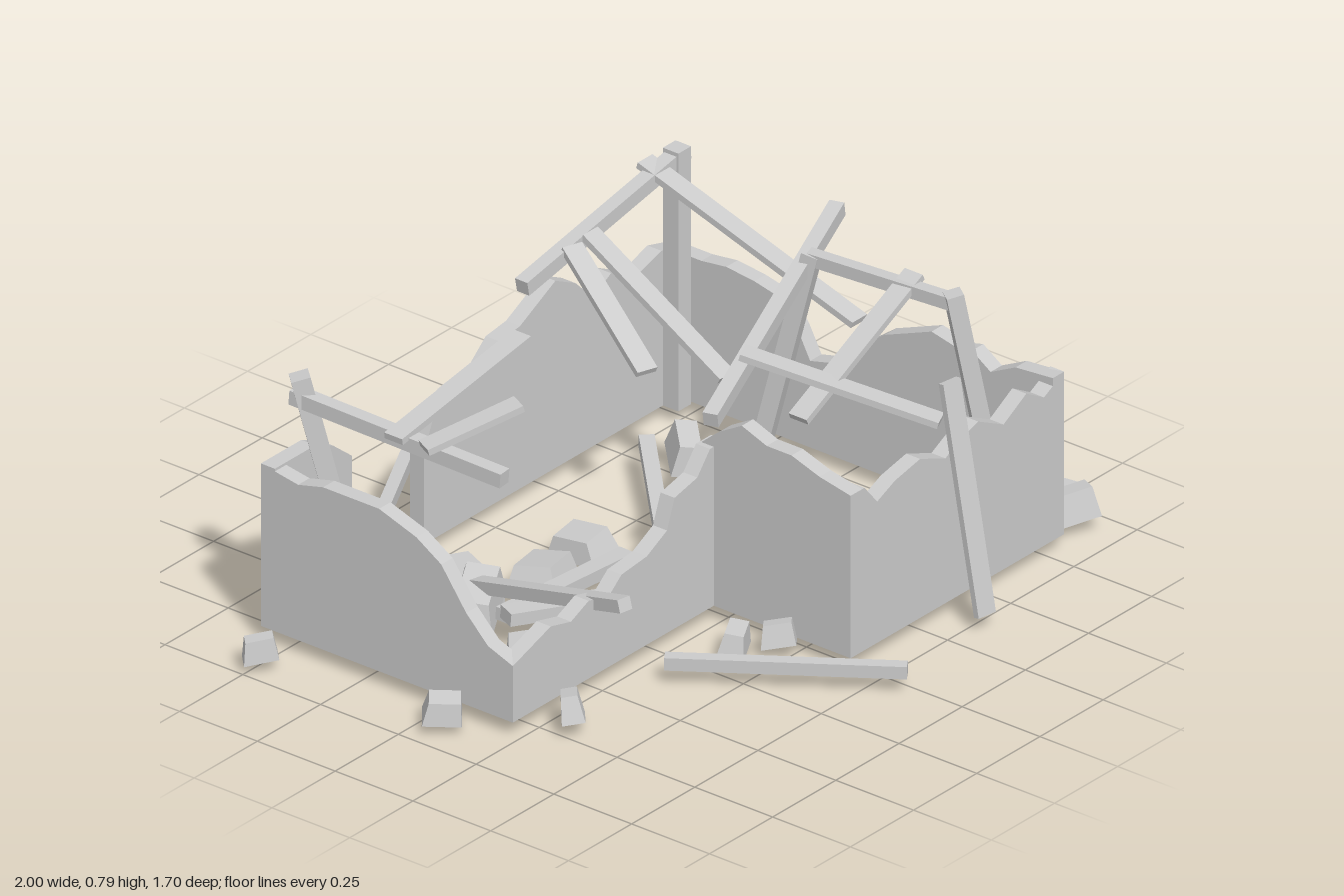
import * as THREE from 'three';

const T = 0.045, BASE = 0.04;

export function createModel() {
  const root = new THREE.Group();
  root.name = 'ruinedHouse';
  const mat = new THREE.MeshStandardMaterial({ color: 0xcccccc, flatShading: true });
  const add = (geo, name, parent) => {
    const m = new THREE.Mesh(geo, mat);
    m.name = name;
    parent.add(m);
    return m;
  };
  const group = (name) => {
    const g = new THREE.Group();
    g.name = name;
    root.add(g);
    return g;
  };

  // Broken walls: a jagged top profile of [position, height], extruded to the wall thickness
  const walls = group('walls');
  const wall = (name, axis, offset, profile) => {
    const shape = new THREE.Shape();
    shape.moveTo(profile[0][0], BASE);
    shape.lineTo(profile[profile.length - 1][0], BASE);
    [...profile].reverse().forEach(([u, y]) => shape.lineTo(u, y));
    const geo = new THREE.ExtrudeGeometry(shape, { depth: T, bevelEnabled: false });
    if (axis === 'z') geo.rotateY(-Math.PI / 2).translate(offset + T, 0, 0);
    else geo.translate(0, 0, offset);
    add(geo, name, walls);
  };
  wall('frontWingWall', 'x', 0.625, [[-0.035, 0.5], [0.02, 0.5], [0.07, 0.44], [0.14, 0.47], [0.24, 0.49],
    [0.34, 0.45], [0.4, 0.48], [0.47, 0.5], [0.57, 0.45], [0.66, 0.5], [0.73, 0.46], [0.81, 0.5]]);
  wall('wingSideWall', 'z', -0.035, [[0.19, 0.49], [0.25, 0.54], [0.32, 0.58], [0.4, 0.55], [0.48, 0.55],
    [0.57, 0.52], [0.67, 0.5]]);
  wall('frontMainWall', 'x', 0.185, [[-0.83, 0.2], [-0.68, 0.25], [-0.6, 0.23], [-0.53, 0.26], [-0.45, 0.24],
    [-0.4, 0.28], [-0.3, 0.29], [-0.22, 0.33], [-0.19, 0.41], [-0.1, 0.43], [-0.05, 0.49], [0.01, 0.49]]);
  wall('leftGableWall', 'z', -0.83, [[-0.58, 0.5], [-0.46, 0.48], [-0.38, 0.5], [-0.2, 0.5], [-0.08, 0.46],
    [0, 0.41], [0.08, 0.3], [0.15, 0.23], [0.23, 0.2]]);
  wall('backWallShort', 'x', -0.58, [[-0.83, 0.5], [-0.67, 0.5], [-0.6, 0.47], [-0.525, 0.41]]);
  wall('backWallLong', 'x', -0.58, [[-0.24, 0.3], [-0.2, 0.39], [-0.13, 0.42], [0, 0.44], [0.06, 0.49],
    [0.14, 0.5], [0.28, 0.57], [0.36, 0.53], [0.43, 0.46], [0.5, 0.5], [0.6, 0.45], [0.7, 0.48], [0.81, 0.45]]);
  wall('rightWall', 'z', 0.765, [[-0.58, 0.45], [-0.46, 0.45], [-0.38, 0.46], [-0.29, 0.45], [-0.2, 0.43],
    [-0.15, 0.36], [-0.11, 0.285], [-0.05, 0.3], [0.05, 0.38], [0.13, 0.44], [0.23, 0.48], [0.28, 0.5],
    [0.37, 0.48], [0.41, 0.49], [0.47, 0.45], [0.55, 0.49], [0.67, 0.5]]);

  // Timbers: boxes stretched between two points
  const timbers = group('timbers');
  const beam = (name, a, b, w = 0.045, h = 0.035) => {
    const A = new THREE.Vector3(...a), B = new THREE.Vector3(...b);
    const m = add(new THREE.BoxGeometry(w, h, A.distanceTo(B)), name, timbers);
    m.position.copy(A).lerp(B, 0.5);
    m.lookAt(B);
  };
  // loose planks lying around and inside the walls
  [
    [[-0.465, 0.058, -0.56], [0.07, 0.058, -0.84], 0.033],
    [[-0.365, 0.058, 0.34], [-0.02, 0.058, 0.84], 0.035],
    [[0.895, 0.058, 0], [0.98, 0.058, 0.59], 0.037],
    [[0.155, 0.06, -0.715], [0.67, 0.06, -0.69], 0.055],
    [[-0.48, 0.09, -0.085], [-0.01, 0.07, -0.07], 0.05],
    [[-0.49, 0.1, -0.07], [-0.04, 0.06, 0.13], 0.06],
    [[0.45, 0.1, -0.38], [0.03, 0.06, 0.03], 0.04],
    [[0.28, 0.06, 0.1], [0.7, 0.06, 0.52], 0.045],
    [[-0.51, 0.275, 0.33], [-0.4, 0.09, -0.26], 0.04],
  ].forEach(([a, b, w]) => beam('loosePlank', a, b, w));
  // posts
  beam('leftPost', [-0.8, 0.77, -0.48], [-0.67, 0.05, -0.36], 0.05, 0.05);
  beam('rightBackPost', [0.73, 0.04, -0.51], [0.73, 0.77, -0.51], 0.05, 0.05);
  beam('wingFrontPost', [0.58, 0.76, 0.5], [0.69, 0.05, 0.58], 0.045, 0.045);
  beam('wingBackPost', [0.54, 0.75, 0.08], [0.49, 0.05, -0.08], 0.045, 0.045);
  beam('stumpPost', [0.05, 0.04, 0.57], [0.05, 0.42, 0.57], 0.045, 0.045);
  // purlins still held up by the posts
  beam('leftPurlin', [-0.8, 0.71, -0.5], [-0.74, 0.66, 0.13], 0.04, 0.04);
  beam('backPurlin', [0.13, 0.62, -0.52], [0.76, 0.75, -0.51], 0.04, 0.04);
  beam('wingPurlin', [0.54, 0.735, 0.06], [0.58, 0.735, 0.5], 0.035, 0.035);
  beam('middlePurlin', [-0.06, 0.58, 0.24], [0.75, 0.76, -0.01], 0.04, 0.04);
  // fallen rafters
  [
    [[-0.81, 0.7, -0.17], [-0.3, 0.78, -0.17]],
    [[-0.8, 0.7, -0.08], [-0.57, 0.77, 0.04]],
    [[0.65, 0.75, -0.55], [0.65, 0.53, 0.14]],
    [[0.37, 0.68, -0.5], [0.37, 0.42, -0.06]],
    [[0.3, 0.67, -0.5], [0.18, 0.48, -0.16]],
    [[0.15, 0.66, 0.17], [0.37, 0.53, 0.63]],
    [[0.14, 0.54, 0.36], [0.6, 0.76, 0.36]],
    [[0.355, 0.04, 0.785], [0.375, 0.65, 0.655]],
  ].forEach(([a, b]) => beam('rafter', a, b, 0.058, 0.018));

  // Rubble: tapered, tilted blocks as [x, z, length, width, height, turn]
  const rubble = group('rubble');
  [
    [-0.95, -0.49, 0.09, 0.06, 0.06, -0.8], [-0.9, 0.06, 0.1, 0.09, 0.06, -0.9],
    [-0.71, 0.32, 0.09, 0.06, 0.07, 0.7], [-0.57, -0.65, 0.11, 0.09, 0.08, 0.6],
    [-0.58, -0.48, 0.09, 0.06, 0.06, 0.7], [0.07, -0.67, 0.11, 0.09, 0.07, -0.6],
    [0.9, -0.3, 0.11, 0.08, 0.08, -0.8], [0.9, 0.62, 0.12, 0.08, 0.08, -0.5],
    [0.57, -0.73, 0.1, 0.08, 0.14, 0.8], [0.69, -0.72, 0.07, 0.05, 0.12, 0.9],
    [0.35, -0.7, 0.17, 0.06, 0.05, 0.05], [0.52, -0.31, 0.14, 0.08, 0.08, 0.8],
    [0.53, -0.04, 0.14, 0.1, 0.07, 0.05], [0.14, 0.08, 0.09, 0.06, 0.06, 0.7],
    [-0.16, 0.4, 0.1, 0.07, 0.06, 0.5], [-0.08, 0.47, 0.09, 0.06, 0.06, -0.9],
    [0.44, 0.46, 0.09, 0.06, 0.06, 0.9], [0.55, 0.22, 0.11, 0.08, 0.06, -0.6],
    [-0.02, -0.21, 0.11, 0.15, 0.06, 0.05], [0.27, 0.52, 0.2, 0.15, 0.06, -0.3],
    [-0.21, -0.18, 0.17, 0.14, 0.07, 0.3], [-0.4, -0.34, 0.22, 0.16, 0.09, -0.4],
    [-0.42, -0.22, 0.2, 0.12, 0.08, 0.5], [-0.58, 0.08, 0.18, 0.13, 0.08, 0.7],
  ].forEach(([x, z, l, w, h, turn], i) => {
    const geo = new THREE.BoxGeometry(l, h, w);
    const p = geo.attributes.position;
    for (let k = 0; k < p.count; k++) {
      if (p.getY(k) > 0) p.setXYZ(k, p.getX(k) * 0.8 + 0.006, p.getY(k), p.getZ(k) * 0.7);
    }
    geo.rotateX(0.16 * Math.sin(i * 2.4)).rotateZ(0.18 * Math.cos(i * 1.7)).rotateY(turn);
    geo.computeBoundingBox();
    const lift = Math.max(0, 0.02 - 0.1 * l) + 0.01;
    geo.translate(x, lift - geo.boundingBox.min.y, z);
    add(geo, 'rubbleBlock', rubble);
  });
  // one thin slab settled to the lowest level
  const slab = add(new THREE.BoxGeometry(0.2, 0.03, 0.15), 'rubbleSlab', rubble);
  slab.position.set(-0.4, 0.015, -0.3);
  return root;
}
